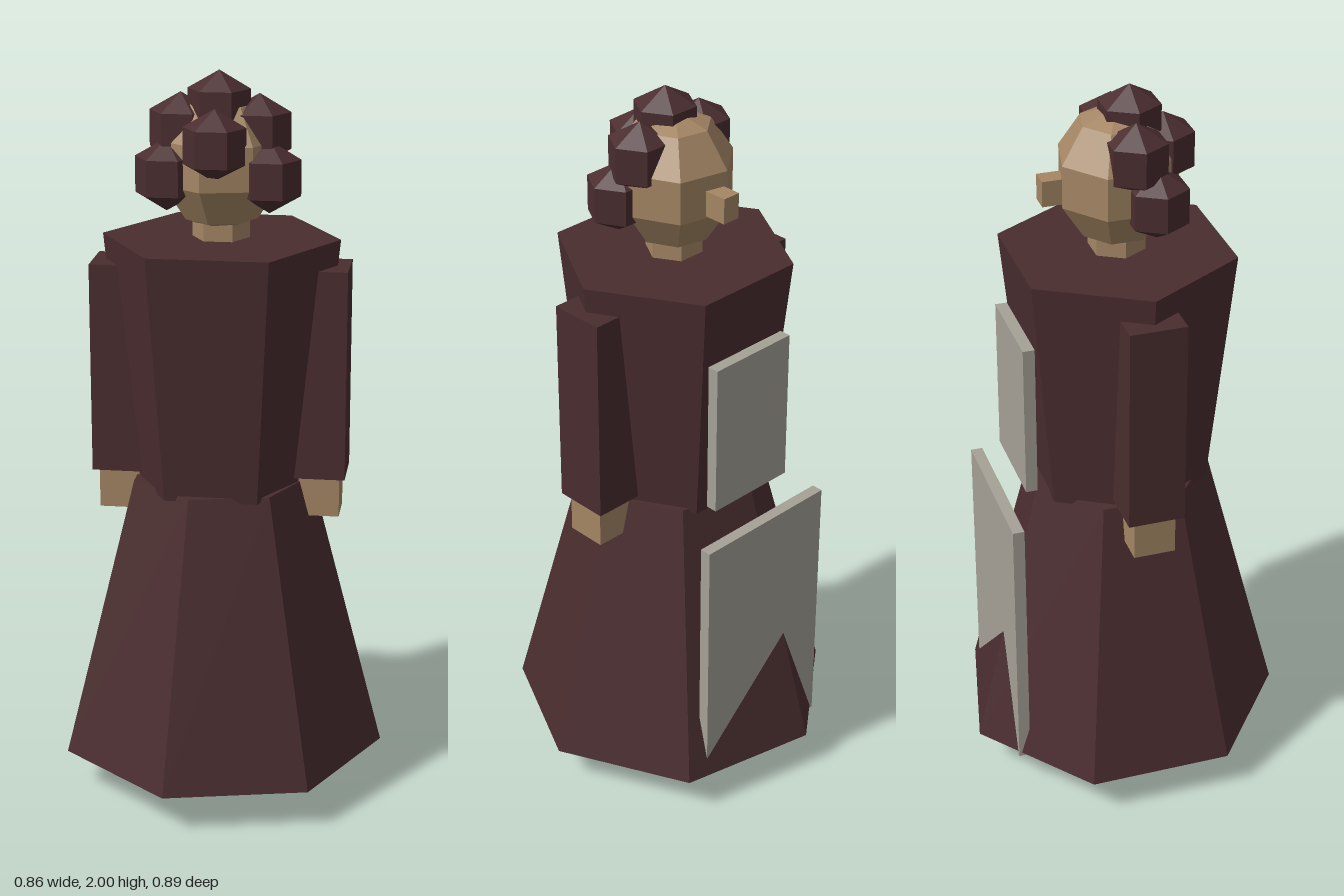
import * as THREE from 'three';

const CX = -0.024; // the figure's own axis, set off by the uneven seven-sided skirt

function material(name, color) {
  const m = new THREE.MeshStandardMaterial({ color, flatShading: true });
  m.name = name;
  return m;
}

export function createModel() {
  const group = new THREE.Group();
  const cloth = material('maroonCloth', 0x4a2d2f);
  const skin = material('skin', 0xa48664);
  const linen = material('greyLinen', 0xa5a197);
  const leather = material('blackLeather', 0x242424);

  function add(name, geometry, mat, x, y, z) {
    const mesh = new THREE.Mesh(geometry, mat);
    mesh.name = name;
    mesh.position.set(CX + x, y, z);
    group.add(mesh);
    return mesh;
  }

  // Box given by its centre in x and z, its size and its y range
  function box(name, mat, x, z, w, d, y0, y1) {
    return add(name, new THREE.BoxGeometry(w, y1 - y0, d), mat, x, (y0 + y1) / 2, z);
  }

  // Prism or frustum with its first corner on +x
  function frustum(name, mat, rTop, rBottom, sides, y0, y1) {
    const g = new THREE.CylinderGeometry(rTop, rBottom, y1 - y0, sides, 1, false, Math.PI / 2);
    return add(name, g, mat, 0, (y0 + y1) / 2, 0);
  }

  // Robe and neck
  frustum('skirt', cloth, 0.25, 0.454, 7, 0.107, 0.89);
  frustum('torso', cloth, 0.32, 0.25, 6, 0.875, 1.552);
  frustum('neck', skin, 0.077, 0.077, 6, 1.53, 1.66);

  // Head: seven-sided, slightly tall, face toward -z
  const head = new THREE.SphereGeometry(0.168, 7, 5);
  head.rotateY(Math.PI);
  head.scale(1, 1.12, 1);
  add('head', head, skin, 0, 1.757, 0);
  box('nose', skin, 0, -0.153, 0.052, 0.106, 1.705, 1.775);

  // Hair curls
  const curl = new THREE.SphereGeometry(0.096, 6, 3);
  add('topCurl', curl, cloth, 0, 1.904, 0.033);
  add('rearCurl', curl, cloth, 0, 1.817, 0.123);

  // Paired parts
  for (const [side, s] of [['left', 1], ['right', -1]]) {
    add(side + 'UpperCurl', curl, cloth, s * 0.104, 1.843, 0.017);
    add(side + 'LowerCurl', curl, cloth, s * 0.136, 1.728, 0.063);
    box(side + 'Sleeve', cloth, s * 0.271, 0, 0.15, 0.154, 0.905, 1.482);
    box(side + 'Hand', skin, s * 0.273, 0, 0.114, 0.114, 0.793, 0.93);
    box(side + 'Shoe', leather, s * 0.113, -0.05, 0.166, 0.288, 0, 0.15);
  }

  // Apron panels
  box('apronBib', linen, 0, -0.28, 0.267, 0.032, 0.927, 1.358);
  box('apronSkirt', linen, 0, -0.342, 0.434, 0.032, 0.096, 0.86);

  return group;
}
